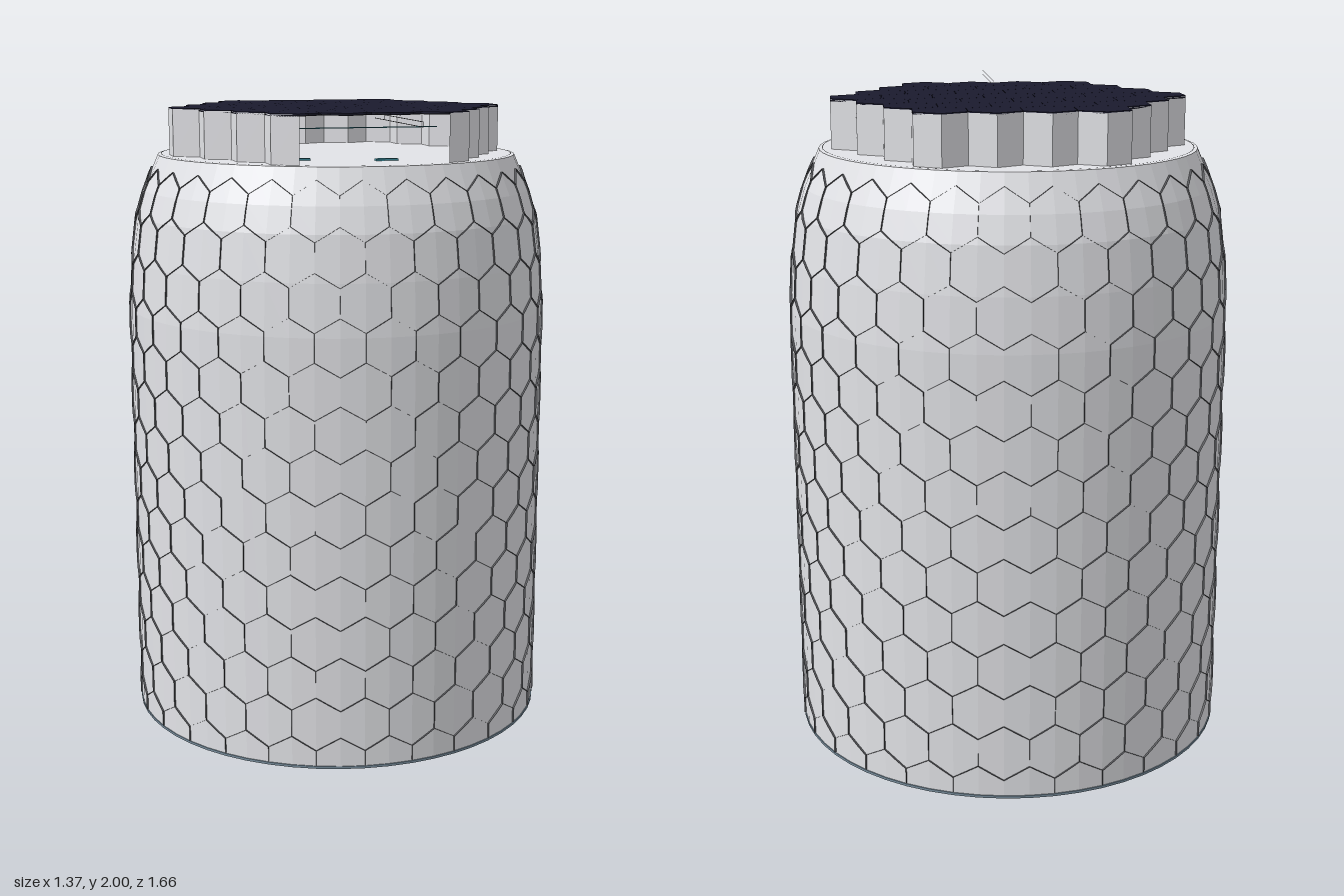
import * as THREE from 'three';

const shell = new THREE.MeshStandardMaterial({ color: 0xe4e5e9, side: THREE.DoubleSide, flatShading: true });
const groove = new THREE.MeshStandardMaterial({ color: 0x4e4f53, side: THREE.DoubleSide });
const navy = new THREE.MeshStandardMaterial({ color: 0x1a1a2e });
const seam = new THREE.MeshStandardMaterial({ color: 0x12121c });
const slate = new THREE.MeshStandardMaterial({ color: 0x768b9a });
const teal = new THREE.MeshStandardMaterial({ color: 0x3f8fa0 });

const TILES = 28, PITCH = (Math.PI * 2) / TILES; // tiles around the body
const HEX = 0.0888, ROW = HEX * 1.5, WIDE = HEX * Math.sqrt(3);
const TILE_ROW = 0.1315, TILE_R = TILE_ROW / 1.5;
const TOP = 1.85;
const PROFILE = [[0.677, 0.008], [0.677, 1.36], [0.667, 1.52], [0.649, 1.66], [0.625, 1.74], [0.577, TOP]];

function add(parent, name, geometry, material, x = 0, y = 0, z = 0) {
  const mesh = new THREE.Mesh(geometry, material);
  mesh.name = name;
  mesh.position.set(x, y, z);
  parent.add(mesh);
  return mesh;
}

// Geometry from a list of four-cornered faces
function quads(list) {
  const pos = [];
  for (const [a, b, c, d] of list) for (const p of [a, b, c, a, c, d]) pos.push(p.x, p.y, p.z);
  const g = new THREE.BufferGeometry();
  g.setAttribute('position', new THREE.Float32BufferAttribute(pos, 3));
  g.computeVertexNormals();
  return g;
}

// Radius of the body at a height
function radiusAt(y) {
  for (let i = 1; i < PROFILE.length; i++) {
    const [r0, y0] = PROFILE[i - 1], [r1, y1] = PROFILE[i];
    if (y <= y1) return r0 + (r1 - r0) * Math.max(0, (y - y0) / (y1 - y0));
  }
  return PROFILE[PROFILE.length - 1][0];
}

function onBody(angle, y, lift) {
  const r = radiusAt(y) + lift;
  return new THREE.Vector3(r * Math.sin(angle), y, r * Math.cos(angle));
}

// Dark tile borders, standing edge-on to the body
function tileBorders() {
  const list = [], low = -0.003, high = 0.006;
  const fin = (a0, y0, a1, y1) => list.push(
    [onBody(a0, y0, low), onBody(a1, y1, low), onBody(a1, y1, high), onBody(a0, y0, high)]);
  for (let row = 0; row < 14; row++) {
    const cy = 0.016 + row * TILE_ROW;
    for (let i = 0; i < TILES; i++) {
      const a = (i + (row % 2) / 2) * PITCH;
      // slanted edges, in two pieces to follow the curve
      for (const s of [-1, 1]) {
        for (const t of [0, 0.25]) {
          fin(a + s * t * PITCH, cy + TILE_R * (1 - t), a + s * (t + 0.25) * PITCH, cy + TILE_R * (0.75 - t));
        }
      }
      // upright edge
      const e = a + PITCH / 2;
      fin(e, Math.max(0.01, cy - TILE_R / 2), e, cy);
      fin(e, cy, e, cy + TILE_R / 2);
    }
  }
  return quads(list);
}

// Honeycomb of 37 cells
function honeycomb() {
  const cells = [];
  for (let r = -3; r <= 3; r++) {
    const count = 7 - Math.abs(r);
    for (let i = 0; i < count; i++) cells.push([(i - (count - 1) / 2) * WIDE, r * ROW]);
  }
  return cells;
}

// Outer zigzag wall, open at the middle of the front
function capWalls(cells) {
  const list = [];
  for (const [x, z] of cells) {
    for (let k = 0; k < 6; k++) {
      const n = ((k + 0.5) * Math.PI) / 3;
      const nx = x + WIDE * Math.sin(n), nz = z + WIDE * Math.cos(n);
      if (cells.some(([u, v]) => Math.hypot(u - nx, v - nz) < 0.02)) continue;
      const mx = (x + nx) / 2, mz = (z + nz) / 2;
      if (mz > 0.4 && Math.abs(mx) < 0.23) continue;
      const corner = (j, y) => new THREE.Vector3(
        x + HEX * Math.sin((j * Math.PI) / 3), y, z + HEX * Math.cos((j * Math.PI) / 3));
      list.push([corner(k, TOP), corner(k + 1, TOP), corner(k + 1, 1.997), corner(k, 1.997)]);
    }
  }
  return quads(list);
}

export function createModel() {
  const model = new THREE.Group();
  model.name = 'hexTiledCanister';
  const can = new THREE.Group();
  can.name = 'canister';
  can.position.z = -0.145;
  model.add(can);

  // Body, shoulder and base
  const profile = [...PROFILE, [0, TOP]].map(([r, y]) => new THREE.Vector2(r, y));
  add(can, 'body', new THREE.LatheGeometry(profile, TILES * 2), shell);
  add(can, 'tileBorders', tileBorders(), groove);
  add(can, 'basePlate', new THREE.CylinderGeometry(0.68, 0.68, 0.008, TILES * 2), slate, 0, 0.004, 0);
  const rim = new THREE.RingGeometry(0.565, 0.567, TILES * 2).rotateX(-Math.PI / 2);
  add(can, 'rimGroove', rim, groove, 0, TOP + 0.002, 0);

  // Honeycomb cap
  const cells = honeycomb();
  add(can, 'capWalls', capWalls(cells), shell);
  const lid = new THREE.CylinderGeometry(HEX * 0.993, HEX * 0.993, 0.005, 6);
  const under = new THREE.CylinderGeometry(HEX, HEX, 0.004, 6);
  for (const [x, z] of cells) {
    add(can, 'lidCell', lid, navy, x, 1.9975, z);
    add(can, 'lidSeam', under, seam, x, 1.994, z);
  }

  // Fittings inside the front opening
  add(can, 'innerBar', new THREE.BoxGeometry(0.46, 0.003, 0.003), teal, 0, 1.95, 0.36);
  for (const [x, z] of [[-0.19, 0.29], [0.07, 0.36]]) {
    add(can, 'innerPad', new THREE.BoxGeometry(0.07, 0.006, 0.025), teal, x, TOP + 0.003, z);
  }

  // Flat wire frame reaching forward from the cap, edge-on from above
  const wire = (name, y, z, height, length) => add(
    model, name, new THREE.PlaneGeometry(length, height).rotateY(Math.PI / 2), groove, 0, y, z);
  for (const y of [1.999, 1.985]) wire('frontWire', y, 0.585, 0.002, 0.49);
  for (const z of [0.44, 0.59, 0.63, 0.67, 0.829]) wire('wireTie', 1.992, z, 0.012, 0.002);
  return model;
}
